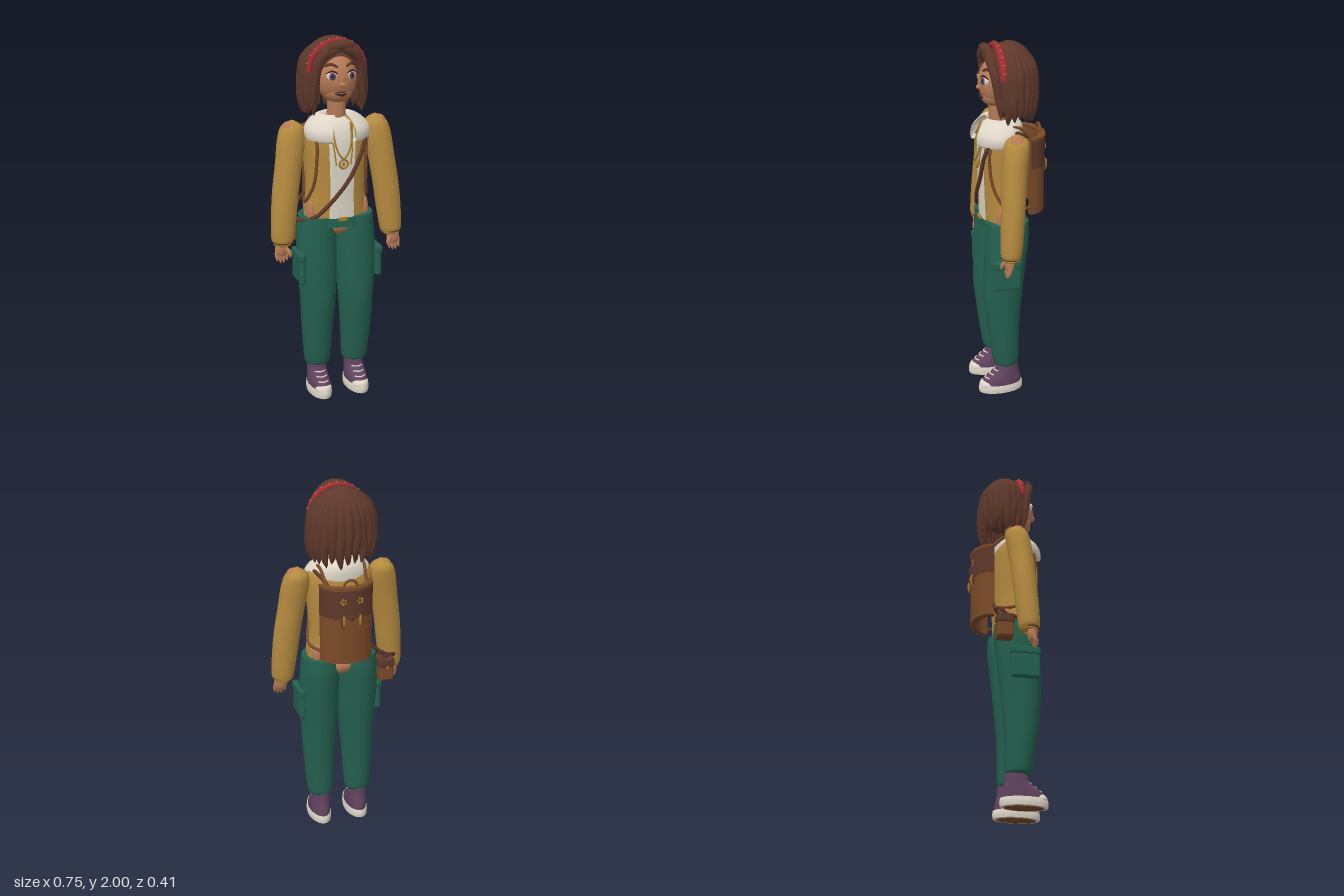
import * as THREE from 'three';
import { mergeVertices, toCreasedNormals } from 'three/addons/utils/BufferGeometryUtils.js';
import { RoundedBoxGeometry } from 'three/addons/geometries/RoundedBoxGeometry.js';

const V = (x, y, z) => new THREE.Vector3(x, y, z);

export function createModel() {
  const model = new THREE.Group();
  const material = (name, color, side = THREE.FrontSide) => {
    const m = new THREE.MeshStandardMaterial({ color, side });
    m.name = name;
    return m;
  };
  const hair = material('hairBrown', 0x5e382b);
  const skin = material('skin', 0xb87a57);
  const ochre = material('jacketOchre', 0xb48a3f);
  const green = material('trouserGreen', 0x24604f);
  const purple = material('shoePurple', 0x60435f);
  const cream = material('cream', 0xded6c8, THREE.DoubleSide);
  const red = material('bandRed', 0xa02a32);
  const leather = material('leather', 0x7a4a28);
  const gold = material('gold', 0xa67c2c);
  const dark = material('dark', 0x33221f);

  const add = (name, geometry, mat, x = 0, y = 0, z = 0) => {
    const mesh = new THREE.Mesh(geometry, mat);
    mesh.name = name;
    mesh.position.set(x, y, z);
    model.add(mesh);
    return mesh;
  };
  const smooth = (g, crease) => {
    g.deleteAttribute('uv');
    g.deleteAttribute('normal');
    g = mergeVertices(g, 1e-5);
    if (crease) return toCreasedNormals(g, crease);
    g.computeVertexNormals();
    return g;
  };
  // Oval cross-sections [x, y, z, rx, rz] from bottom to top, optionally only an arc (0 = front)
  const loft = (name, mat, rings, start = 0, arc = Math.PI * 2) => {
    const centres = new THREE.CatmullRomCurve3(rings.map(r => V(r[0], r[1], r[2])), false, 'catmullrom');
    const radii = new THREE.CatmullRomCurve3(rings.map(r => V(r[3], r[4], 0)), false, 'catmullrom');
    const g = new THREE.CylinderGeometry(1, 1, 1, 32, rings.length * 4, arc < 6.28, start, arc);
    const p = g.attributes.position;
    for (let i = 0; i < p.count; i++) {
      const t = Math.min(1, Math.max(0, p.getY(i) + 0.5));
      const c = centres.getPoint(t), r = radii.getPoint(t);
      p.setXYZ(i, c.x + p.getX(i) * r.x, c.y, c.z + p.getZ(i) * r.y);
    }
    return add(name, smooth(g, 0.9), mat);
  };
  // Tube through points; a tapered one narrows to a tip
  const strand = (name, mat, pts, r, taper = false, closed = false) => {
    const curve = new THREE.CatmullRomCurve3(pts.map(p => V(...p)), closed);
    const n = 24, sides = 8;
    const g = new THREE.TubeGeometry(curve, n, r, sides, closed);
    if (taper) {
      const p = g.attributes.position, v = V(0, 0, 0);
      for (let i = 0; i < p.count; i++) {
        const t = Math.floor(i / (sides + 1)) / n, c = curve.getPointAt(t);
        const f = Math.pow(Math.max(0.001, Math.sin(Math.PI * (0.12 + 0.88 * t))), 0.6);
        v.fromBufferAttribute(p, i).sub(c).multiplyScalar(f).add(c);
        p.setXYZ(i, v.x, v.y, v.z);
      }
    }
    return add(name, smooth(g), mat);
  };
  const ball = (name, mat, x, y, z, rx, ry, rz) => {
    const m = add(name, new THREE.SphereGeometry(1, 28, 20), mat, x, y, z);
    m.scale.set(rx, ry, rz);
    return m;
  };
  const box = (name, mat, x, y, z, w, h, d, r = 0.01) => add(name, new RoundedBoxGeometry(w, h, d, 3, r), mat, x, y, z);
  const ring = (name, mat, x, y, z, r, t, arc = Math.PI * 2) => add(name, new THREE.TorusGeometry(r, t, 8, 32, arc), mat, x, y, z);

  // Torso, open jacket front and neck
  const body = [[0, 1.02, 0.035, 0.178, 0.11], [0, 1.2, 0.035, 0.166, 0.115], [0, 1.4, 0.035, 0.182, 0.12],
    [0, 1.5, 0.035, 0.186, 0.11], [0, 1.555, 0.035, 0.15, 0.085], [0, 1.585, 0.035, 0.07, 0.055]];
  loft('jacket', ochre, body);
  loft('shirt', cream, body.map(([x, y, z, a, b]) => [x, y, z, a + 0.004, b + 0.005]), -0.4, 0.8);
  loft('neck', skin, [[0, 1.5, 0.04, 0.06, 0.05], [0, 1.6, 0.05, 0.05, 0.05], [0, 1.7, 0.05, 0.05, 0.05]]);
  loft('collar', cream, [[0, 1.475, 0.055, 0.13, 0.1], [0, 1.465, 0.06, 0.17, 0.13], [0, 1.52, 0.057, 0.18, 0.135],
    [0, 1.57, 0.045, 0.145, 0.115], [0, 1.6, 0.045, 0.09, 0.08], [0, 1.585, 0.045, 0.06, 0.055]], 0.36, Math.PI * 2 - 0.72);
  ball('pelvis', skin, 0, 0.985, 0.035, 0.1, 0.065, 0.1);
  loft('waistband', green, [[0, 0.99, 0.035, 0.19, 0.124], [0, 1.04, 0.035, 0.186, 0.121]], -0.45, 0.9);
  box('buckle', gold, 0, 1.035, 0.158, 0.05, 0.022, 0.012, 0.004);

  for (const s of [1, -1]) {
    // Sleeves, shoulders and waist skin
    loft('sleeve', ochre, [[s * 0.31, 0.91, 0.068, 0.052, 0.05], [s * 0.311, 0.94, 0.068, 0.062, 0.057],
      [s * 0.3, 1.06, 0.06, 0.07, 0.062], [s * 0.285, 1.2, 0.05, 0.073, 0.064], [s * 0.262, 1.35, 0.038, 0.074, 0.066],
      [s * 0.245, 1.46, 0.025, 0.076, 0.068], [s * 0.237, 1.53, 0.015, 0.06, 0.06], [s * 0.235, 1.565, 0.015, 0.012, 0.015]]);
    ball('shoulderSkin', skin, s * 0.255, 1.518, 0.02, 0.04, 0.045, 0.045);
    ball('waistSkinFront', skin, s * 0.15, 1.06, 0.075, 0.025, 0.075, 0.028);
    ball('waistSkinBack', skin, s * 0.135, 1.07, -0.02, 0.03, 0.06, 0.028);
    // Hands and bracelets
    ball('palm', skin, s * 0.323, 0.88, 0.082, 0.036, 0.05, 0.026);
    for (let i = 0; i < 4; i++) {
      const x = s * (0.297 + i * 0.018), low = i === 0 || i === 3 ? 0.815 : 0.803;
      strand('finger', skin, [[x, 0.88, 0.083], [x, 0.84, 0.09], [x, low, 0.1]], 0.0115, true);
    }
    strand('thumb', skin, [[s * 0.305, 0.89, 0.09], [s * 0.285, 0.86, 0.11], [s * 0.283, 0.835, 0.118]], 0.013, true);
    [hair, gold].forEach((m, i) => { ring('bracelet', m, s * 0.314, 0.916 - i * 0.012, 0.071, 0.046 - i * 0.004, 0.006).rotation.x = Math.PI / 2; });
    // Trouser legs with cargo pockets
    loft('trouserLeg', green, [[s * 0.11, 0.172, 0.043, 0.06, 0.06], [s * 0.11, 0.2, 0.043, 0.073, 0.073],
      [s * 0.113, 0.4, 0.055, 0.087, 0.088], [s * 0.11, 0.6, 0.058, 0.1, 0.107], [s * 0.112, 0.8, 0.045, 0.11, 0.115],
      [s * 0.11, 0.95, 0.034, 0.107, 0.121], [s * 0.115, 1.04, 0.034, 0.092, 0.117]]);
    box('cargoPocket', green, s * 0.218, 0.76, 0.065, 0.035, 0.165, 0.155, 0.014);
    box('pocketFlap', green, s * 0.222, 0.83, 0.065, 0.036, 0.045, 0.162, 0.012);
    // Shoes
    const x = s * 0.11;
    loft('outsole', leather, [[x, 0, 0.072, 0.046, 0.105], [x, 0.01, 0.072, 0.046, 0.105]]);
    loft('sole', cream, [[x, 0.003, 0.072, 0.062, 0.125], [x, 0.025, 0.072, 0.064, 0.128], [x, 0.048, 0.072, 0.061, 0.124]]);
    loft('shoe', purple, [[x, 0.04, 0.07, 0.058, 0.118], [x, 0.075, 0.065, 0.057, 0.11], [x, 0.105, 0.05, 0.055, 0.088],
      [x, 0.135, 0.036, 0.053, 0.067], [x, 0.185, 0.032, 0.05, 0.06]]);
    ball('toeCap', cream, x, 0.045, 0.148, 0.046, 0.035, 0.047);
    for (let i = 0; i < 3; i++) {
      const y = 0.088 + i * 0.021, z = 0.164 - i * 0.026;
      strand('lace', cream, [[x - 0.03, y, z - 0.02], [x, y + 0.002, z - 0.002], [x + 0.03, y, z - 0.02]], 0.004);
    }
    // Backpack straps
    strand('backpackStrap', leather, [[s * 0.11, 1.49, -0.11], [s * 0.125, 1.57, -0.01], [s * 0.135, 1.49, 0.12],
      [s * 0.138, 1.36, 0.135], [s * 0.148, 1.22, 0.108], [s * 0.172, 1.12, 0.04], [s * 0.13, 1.11, -0.1]], 0.009);
    // Eyes, brows and necklace sides
    ball('eyeWhite', cream, s * 0.055, 1.812, 0.135, 0.027, 0.024, 0.012).rotation.y = s * 0.45;
    ball('iris', purple, s * 0.054, 1.812, 0.144, 0.018, 0.02, 0.006).rotation.y = s * 0.45;
    ball('pupil', dark, s * 0.054, 1.812, 0.148, 0.008, 0.01, 0.004).rotation.y = s * 0.45;
    strand('upperLash', dark, [[s * 0.027, 1.826, 0.148], [s * 0.052, 1.838, 0.141], [s * 0.084, 1.824, 0.122]], 0.005, true);
    strand('eyebrow', hair, [[s * 0.022, 1.858, 0.139], [s * 0.055, 1.872, 0.123], [s * 0.088, 1.856, 0.1]], 0.008, true);
    strand('chain', gold, [[s * 0.052, 1.56, 0.13], [s * 0.045, 1.46, 0.162], [s * 0.025, 1.4, 0.17], [0, 1.37, 0.172]], 0.005);
    strand('longChain', gold, [[s * 0.062, 1.55, 0.13], [s * 0.05, 1.42, 0.163], [s * 0.04, 1.34, 0.168]], 0.004);
  }
  ring('pendant', gold, 0, 1.345, 0.17, 0.023, 0.006);
  ball('pendantBead', gold, 0, 1.345, 0.168, 0.009, 0.012, 0.006);

  // Head and face
  ball('head', skin, 0, 1.79, 0.05, 0.108, 0.135, 0.105);
  ball('jaw', skin, 0, 1.72, 0.068, 0.08, 0.062, 0.076);
  ball('nose', skin, 0, 1.767, 0.152, 0.018, 0.014, 0.016);
  ball('noseBridge', skin, 0, 1.79, 0.148, 0.01, 0.03, 0.012);
  strand('mouth', dark, [[-0.036, 1.719, 0.133], [0, 1.711, 0.147], [0.036, 1.719, 0.133]], 0.007, true);
  strand('upperLip', hair, [[-0.03, 1.727, 0.136], [0, 1.727, 0.147], [0.03, 1.727, 0.136]], 0.005, true);

  // Hair cap, two layers of hanging locks and swept fringe
  ball('hairCap', hair, 0, 1.838, -0.015, 0.16, 0.16, 0.13);
  let seed = 7;
  const random = () => (seed = (seed * 16807) % 2147483647) / 2147483647;
  for (let layer = 0; layer < 2; layer++) {
    const count = 19 - layer * 2;
    for (let i = 0; i < count; i++) {
      const a = THREE.MathUtils.degToRad(50 + 260 * i / (count - 1));
      const k = 1 - layer * 0.1, wave = (random() - 0.5) * 0.12, end = 1.575 + random() * 0.06 + layer * 0.01;
      const at = (r, y, turn = 0) => [r * k * Math.sin(a + turn), y, -0.015 + r * k * 0.72 * Math.cos(a + turn)];
      strand('hairLock', hair, [at(0.085, 1.955), at(0.145, 1.88), at(0.164, 1.77, wave), at(0.172, 1.68, -wave), at(0.165, end, wave)],
        0.034 - layer * 0.005, true);
    }
  }
  for (const s of [1, -1]) {
    strand('fringeLock', hair, [[s * 0.01, 1.965, 0.095], [s * 0.075, 1.937, 0.118], [s * 0.118, 1.86, 0.1],
      [s * 0.132, 1.75, 0.085], [s * 0.145, 1.62, 0.075]], 0.026, true);
    strand('fringeSweep', hair, [[-s * 0.04, 1.955, 0.105], [s * 0.03, 1.945, 0.122], [s * 0.09, 1.9, 0.105], [s * 0.115, 1.82, 0.09]], 0.022, true);
  }
  strand('fringeRoll', hair, [[-0.11, 1.925, 0.095], [-0.04, 1.962, 0.115], [0.04, 1.964, 0.115], [0.12, 1.91, 0.09]], 0.03, true);

  // Studded headband
  const band = ring('headband', red, 0, 1.83, 0.06, 0.154, 0.014, Math.PI);
  band.scale.z = 1.6;
  for (let i = 0; i < 11; i++) {
    const a = Math.PI * (0.08 + 0.084 * i);
    ball('bandStud', gold, 0.166 * Math.cos(a), 1.83 + 0.166 * Math.sin(a), 0.06, 0.005, 0.005, 0.007);
  }

  // Curved backpack with dripping flap
  const section = new THREE.Shape();
  section.moveTo(-0.145, 0.09);
  section.lineTo(-0.115, 0.085);
  section.bezierCurveTo(-0.1, 0.19, 0.1, 0.19, 0.115, 0.085);
  section.lineTo(0.145, 0.09);
  section.bezierCurveTo(0.13, 0.235, -0.13, 0.235, -0.145, 0.09);
  const slab = (name, mat, y, depth, k) => {
    const g = new THREE.ExtrudeGeometry(section, { depth, bevelEnabled: false, curveSegments: 24 });
    g.rotateX(-Math.PI / 2);
    add(name, toCreasedNormals(g, 0.6), mat, 0, y, 0).scale.set(k, 1, k);
  };
  slab('backpack', leather, 1.07, 0.42, 1);
  slab('backpackFlap', hair, 1.33, 0.165, 1.02);
  slab('backpackRim', leather, 1.485, 0.016, 1.03);
  [[-0.09, 1.32], [-0.05, 1.29], [0, 1.315], [0.045, 1.27], [0.085, 1.31]].forEach(([x, y]) => {
    const z = -0.202 + 5 * x * x;
    strand('flapDrip', hair, [[x, 1.35, z], [x, (y + 1.35) / 2, z], [x, y, z]], 0.013, true);
  });
  for (const x of [-0.045, 0.045]) {
    strand('backpackClasp', gold, [[x, 1.35, -0.202], [x, 1.31, -0.205], [x, 1.28, -0.2]], 0.008, true);
    for (let i = 0; i < 5; i++) {
      const a = i * Math.PI * 0.4;
      ball('flapFlower', gold, x + 0.013 * Math.cos(a), 1.425 + 0.013 * Math.sin(a), -0.197, 0.007, 0.007, 0.004);
    }
  }
  ring('backpackHandle', leather, 0, 1.5, -0.175, 0.036, 0.007, Math.PI);

  // Crossbody strap and hip pouch
  strand('crossbodyStrap', hair, [[0.155, 1.54, 0.05], [0.128, 1.46, 0.145], [0.05, 1.28, 0.163], [-0.05, 1.15, 0.158],
    [-0.16, 1.04, 0.12], [-0.232, 1.02, 0.02], [-0.26, 1.02, -0.06], [-0.2, 1.06, -0.085], [0, 1.3, -0.09], [0.12, 1.52, -0.06]], 0.011, false, true);
  strand('pouchHandle', hair, [[-0.285, 1.01, -0.045], [-0.28, 1.04, -0.085], [-0.245, 1.05, -0.1], [-0.205, 1.01, -0.07]], 0.008);
  box('pouch', leather, -0.24, 0.95, -0.05, 0.08, 0.135, 0.09, 0.015);
  box('pouchFlap', hair, -0.24, 0.99, -0.05, 0.088, 0.06, 0.098, 0.015);
  ball('pouchButton', gold, -0.24, 0.965, -0.1, 0.008, 0.008, 0.005);
  return model;
}
